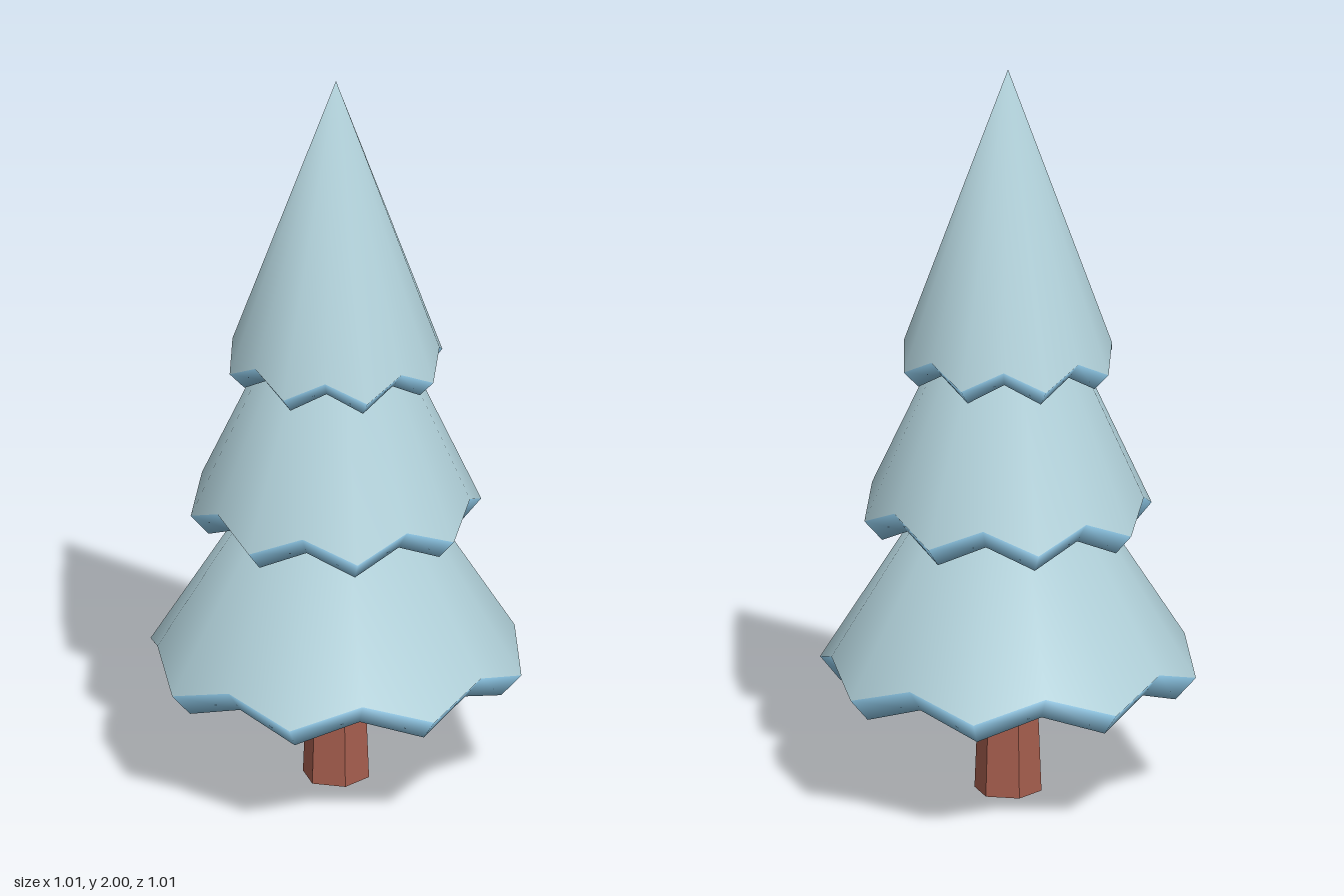
import * as THREE from 'three';

const snow = new THREE.MeshStandardMaterial({ color: 0xb4d4dd });
snow.name = 'pale snowy foliage';
const frost = new THREE.MeshStandardMaterial({ color: 0x88c0de });
frost.name = 'blue foliage edge';
const bark = new THREE.MeshStandardMaterial({ color: 0xa65e4e, flatShading: true });
bark.name = 'brown bark';

const POINTS = 8;

// One cone of foliage: smooth slope, bevelled zigzag hem and hollow underside.
// Each hem entry is [radius, y], for the tips and the notches between them.
function makeTier(name, { apex, hollow, turn, tip, notch, tipInner, notchInner }) {
  const n = POINTS * 2;
  const positions = [];
  const addRing = (low, high) => {
    for (let i = 0; i < n; i++) {
      const [r, y] = i % 2 ? high : low;
      const a = turn + (i / n) * Math.PI * 2;
      positions.push(r * Math.cos(a), y, r * Math.sin(a));
    }
  };
  addRing(tip, notch);
  addRing(tipInner, notchInner);
  positions.push(0, apex, 0, 0, hollow, 0);
  const top = 2 * n, centre = 2 * n + 1;

  const slope = [], edge = [];
  for (let i = 0; i < n; i++) {
    const j = (i + 1) % n;
    slope.push(i, top, j);
    edge.push(n + i, i, j, n + i, j, n + j);
    edge.push(centre, n + i, n + j);
  }
  const geometry = new THREE.BufferGeometry();
  geometry.setAttribute('position', new THREE.Float32BufferAttribute(positions, 3));
  geometry.setIndex([...slope, ...edge]);
  geometry.addGroup(0, slope.length, 0);
  geometry.addGroup(slope.length, edge.length, 1);
  geometry.computeVertexNormals();
  const mesh = new THREE.Mesh(geometry, [snow, frost]);
  mesh.name = name;
  return mesh;
}

export function createModel() {
  const tree = new THREE.Group();
  tree.name = 'snowyTree';

  // Six-sided tapering trunk with corners on the x axis
  const trunk = new THREE.Mesh(new THREE.CylinderGeometry(0.072, 0.09, 0.46, 6), bark);
  trunk.name = 'trunk';
  trunk.rotation.y = Math.PI / 6;
  trunk.position.y = 0.23;
  tree.add(trunk);

  // Three overlapping tiers, each turned against the one below
  tree.add(makeTier('lowerFoliage', {
    apex: 1.15, hollow: 0.4, turn: 0,
    tip: [0.505, 0.338], notch: [0.477, 0.4],
    tipInner: [0.45, 0.275], notchInner: [0.425, 0.335],
  }));
  tree.add(makeTier('middleFoliage', {
    apex: 1.62, hollow: 0.84, turn: Math.PI / 8,
    tip: [0.388, 0.77], notch: [0.365, 0.832],
    tipInner: [0.34, 0.715], notchInner: [0.322, 0.775],
  }));
  tree.add(makeTier('upperFoliage', {
    apex: 2, hollow: 1.26, turn: THREE.MathUtils.degToRad(14.5),
    tip: [0.293, 1.19], notch: [0.275, 1.245],
    tipInner: [0.252, 1.146], notchInner: [0.237, 1.2],
  }));
  return tree;
}
